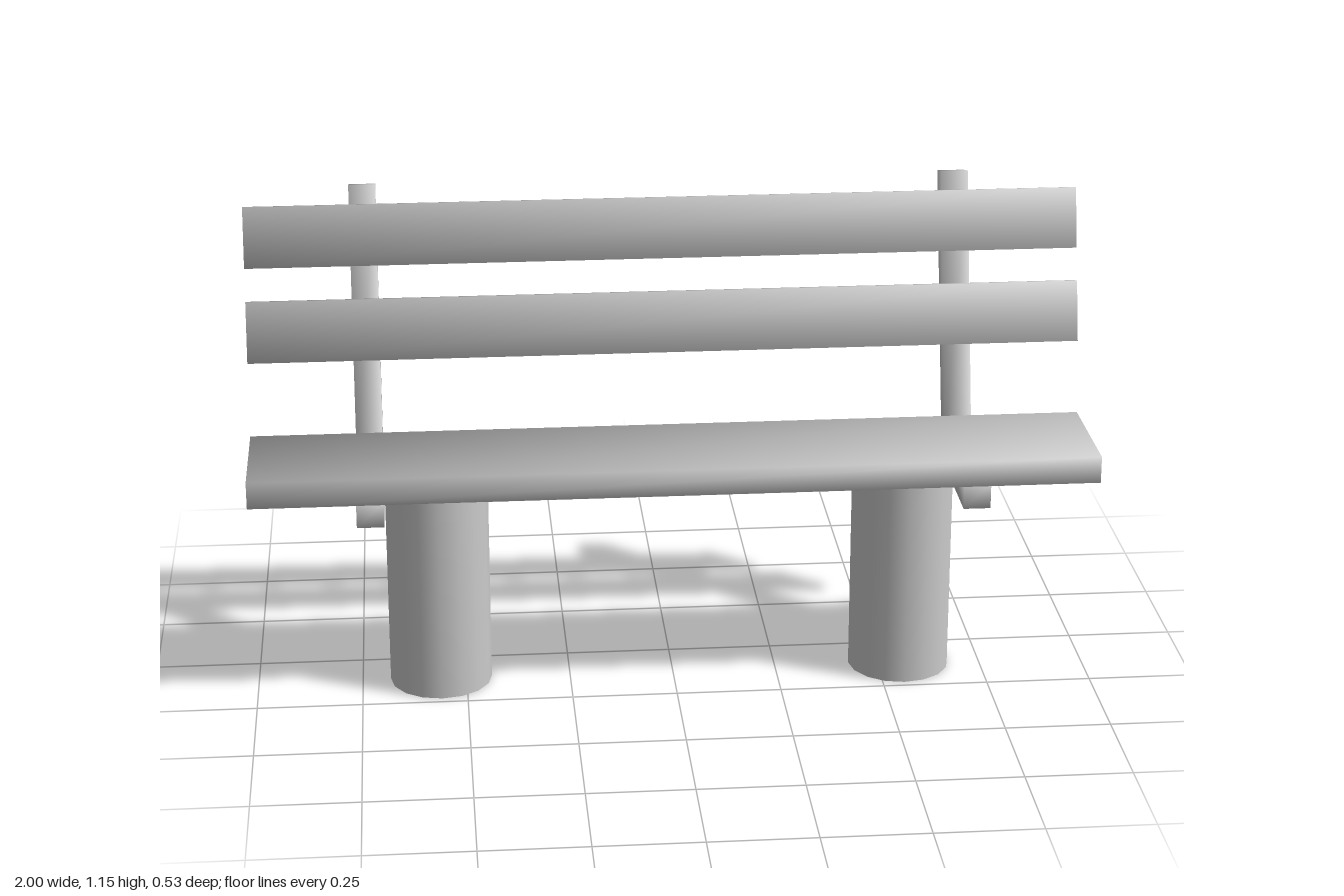
import * as THREE from 'three';

const material = new THREE.MeshStandardMaterial({ color: 0xcccccc });
const openMaterial = new THREE.MeshStandardMaterial({ color: 0xcccccc, side: THREE.DoubleSide });

// Averages the face normals that meet at each corner, so the shading rolls over the edges
function soften(geometry) {
  const { position, normal } = geometry.attributes;
  const sums = new Map();
  const keys = [];
  for (let i = 0; i < position.count; i++) {
    const key = [position.getX(i), position.getY(i), position.getZ(i)].map((v) => Math.round(v * 1e4)).join();
    keys.push(key);
    if (!sums.has(key)) sums.set(key, new THREE.Vector3());
    sums.get(key).add(new THREE.Vector3().fromBufferAttribute(normal, i));
  }
  keys.forEach((key, i) => {
    const n = sums.get(key).clone().normalize();
    normal.setXYZ(i, n.x, n.y, n.z);
  });
  return geometry;
}

function addPart(group, name, geometry, x, y, z, partMaterial = material) {
  const mesh = new THREE.Mesh(geometry, partMaterial);
  mesh.name = name;
  mesh.position.set(x, y, z);
  group.add(mesh);
  return mesh;
}

export function createModel() {
  const bench = new THREE.Group();
  bench.name = 'bench';

  // Seat plank
  addPart(bench, 'seat', soften(new THREE.BoxGeometry(2, 0.065, 0.3)), 0, 0.5505, 0.118);

  // Backrest slats, leaning with the supports
  const slat = soften(new THREE.BoxGeometry(2, 0.146, 0.033));
  for (const [name, y, z] of [['lowerBackSlat', 0.823, -0.095], ['upperBackSlat', 1.04, -0.157]]) {
    addPart(bench, name, slat, 0, y, z).rotation.x = -0.277;
  }

  // Bent supports: side profile as (-z, y), extruded across x
  const width = 0.064;
  const profile = new THREE.Shape([
    [-0.253, 0.456], [0.072, 0.456], [0.266, 1.134], [0.204, 1.15], [0.03, 0.52], [-0.253, 0.52],
  ].map(([u, v]) => new THREE.Vector2(u, v)));
  const support = new THREE.ExtrudeGeometry(profile, { depth: width, bevelEnabled: false });
  support.translate(0, 0, -width / 2).rotateY(Math.PI / 2);
  soften(support);

  // Hollow round legs
  const leg = new THREE.CylinderGeometry(0.122, 0.122, 0.52, 16, 1, true);

  for (const [side, legX, supportX] of [['right', -0.561, -0.717], ['left', 0.553, 0.71]]) {
    addPart(bench, side + 'Support', support, supportX, 0, 0);
    addPart(bench, side + 'Leg', leg, legX, 0.26, 0.11, openMaterial);
  }
  return bench;
}
